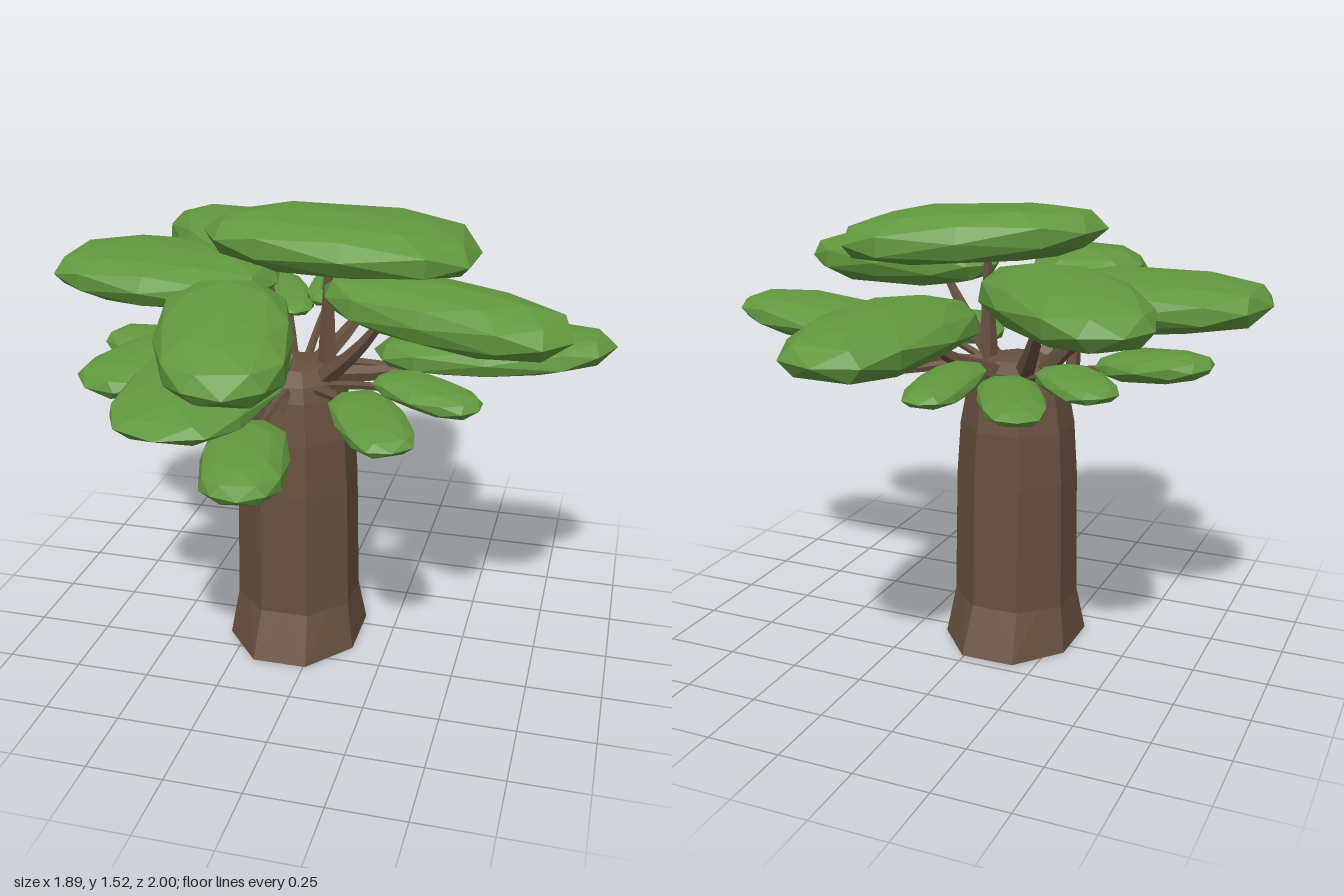
import * as THREE from 'three';

const bark = new THREE.MeshStandardMaterial({ color: 0x67503f, flatShading: true, side: THREE.DoubleSide });
const leaf = new THREE.MeshStandardMaterial({ color: 0x62983f, flatShading: true });
const V = (p) => new THREE.Vector3(...p);

// Repeatable noise in -1..1 from a position
function noise(v, seed) {
  const s = Math.sin(Math.round(v.x * 50) * 12.99 + Math.round(v.y * 50) * 78.23 + Math.round(v.z * 50) * 37.72 + seed * 9.17) * 4375.85;
  return (s - Math.floor(s)) * 2 - 1;
}

// Flattened, coarse leaf cushion from its inner tip to its outer tip; taper widens the outer end
function clump(inner, outer, halfWidth, halfThick, taper, seed) {
  const a = V(inner), b = V(outer);
  const x = b.clone().sub(a), half = x.length() / 2;
  x.normalize();
  const z = x.clone().cross(new THREE.Vector3(0, 1, 0)).normalize();
  const y = z.clone().cross(x);
  const geo = new THREE.IcosahedronGeometry(1, 1);
  const pos = geo.attributes.position, v = new THREE.Vector3();
  const blunt = (t, e) => Math.sign(t) * Math.pow(Math.abs(t), e);
  for (let i = 0; i < pos.count; i++) {
    v.fromBufferAttribute(pos, i);
    const k = 1 + 0.05 * noise(v, seed), u = blunt(v.x, 0.78);
    pos.setXYZ(i, u * half * (1 + (k - 1) * 0.3), blunt(v.y, 0.92) * halfThick * k, blunt(v.z, 0.8) * halfWidth * k * (1 + taper * u));
  }
  geo.applyMatrix4(new THREE.Matrix4().makeBasis(x, y, z).setPosition(a.add(b).multiplyScalar(0.5)));
  geo.computeVertexNormals();
  return new THREE.Mesh(geo, leaf);
}

// Tapered five-sided branch through a few points
function branch(points, r0, r1) {
  const curve = new THREE.CatmullRomCurve3(points.map(V));
  const steps = 5, sides = 5;
  const geo = new THREE.TubeGeometry(curve, steps, 1, sides);
  const pos = geo.attributes.position, v = new THREE.Vector3();
  for (let i = 0; i < pos.count; i++) {
    const t = Math.floor(i / (sides + 1)) / steps, c = curve.getPointAt(t);
    v.fromBufferAttribute(pos, i).sub(c).multiplyScalar(r0 + (r1 - r0) * t).add(c);
    pos.setXYZ(i, v.x, v.y, v.z);
  }
  return new THREE.Mesh(geo, bark);
}

// Eight-sided trunk lofted from rings, with a flared foot of triangular facets
function trunk() {
  const n = 8, pts = [], idx = [];
  const point = (step, y, rx, rz) => {
    const a = ((step + 0.5) / n) * Math.PI * 2;
    pts.push(-0.085 + Math.sin(a) * rx, y, 0.056 + Math.cos(a) * rz);
  };
  const rings = [[0.16, 0.214], [0.6, 0.206], [0.78, 0.194], [0.92, 0.168], [0.97, 0.148], [1.01, 0.1], [1.02, 0]];
  rings.forEach(([y, r], k) => {
    for (let i = 0; i < n; i++) {
      point(i, y, r, r);
      if (k === rings.length - 1) continue;
      const p = k * n + i, q = k * n + ((i + 1) % n);
      idx.push(p, q, p + n, q, q + n, p + n);
    }
  });
  // Foot: a flared corner below each edge, an apex in the middle of each face
  const foot = rings.length * n, centre = foot + 2 * n;
  for (let i = 0; i < n; i++) {
    point(i, 0, 0.24, 0.288);
    point(i + 0.5, 0.16, 0.198, 0.198);
    const corner = foot + 2 * i, apex = corner + 1, next = foot + ((2 * i + 2) % (2 * n)), j = (i + 1) % n;
    idx.push(corner, apex, i, apex, next, j, corner, next, apex, next, corner, centre);
  }
  point(0, 0, 0, 0);
  const geo = new THREE.BufferGeometry();
  geo.setAttribute('position', new THREE.Float32BufferAttribute(pts, 3));
  geo.setIndex(idx);
  const flat = geo.toNonIndexed();
  flat.computeVertexNormals();
  return new THREE.Mesh(flat, bark);
}

export function createModel() {
  const tree = new THREE.Group();
  tree.name = 'tree';
  const add = (mesh, name) => { mesh.name = name; tree.add(mesh); };
  add(trunk(), 'trunk');

  // Leaf cushions: name, inner tip, outer tip, half width, half thickness, taper
  const clumps = [
    ['crown', [-0.38, 1.45, 0.1], [0.5, 1.39, -0.06], 0.26, 0.095, 0.28],
    ['back', [0.1, 1.19, -0.1], [0.09, 1.2, -1.0], 0.22, 0.085, 0],
    ['left', [-0.17, 1.25, -0.03], [-0.95, 1.27, -0.04], 0.27, 0.085, 0],
    ['backSide', [-0.14, 1.31, -0.08], [-0.68, 1.28, -0.67], 0.215, 0.09, -0.08],
    ['frontSide', [0.03, 1.3, 0.13], [0.82, 1.26, 0.36], 0.18, 0.09, 0.1],
    ['front', [-0.28, 1.28, 0.15], [-0.07, 1.19, 0.87], 0.21, 0.095, -0.1],
    ['frontLower', [-0.2, 1.14, 0.2], [-0.22, 1.11, 1.0], 0.23, 0.053, 0],
    ['sideLower', [-0.25, 1.13, 0.16], [-0.59, 1.08, 0.61], 0.18, 0.053, 0],
    ['sideSmall', [-0.36, 1.0, 0.12], [-0.75, 1.04, 0.02], 0.13, 0.05, 0],
    ['frontSmall', [-0.11, 0.97, 0.5], [0.01, 0.96, 1.0], 0.13, 0.055, 0],
    ['cornerSmall', [0.15, 1.0, 0.26], [0.36, 0.99, 0.66], 0.115, 0.043, 0],
    ['cornerUpper', [0.22, 1.04, 0.2], [0.56, 1.02, 0.36], 0.1, 0.042, 0],
    ['right', [0.16, 1.05, -0.02], [0.94, 1.13, -0.01], 0.18, 0.07, 0],
    ['backSmall', [-0.1, 1.08, -0.36], [-0.14, 1.08, -0.82], 0.09, 0.035, 0],
    ['backSideSmall', [-0.2, 1.04, -0.34], [-0.42, 1.05, -0.78], 0.1, 0.037, 0],
    ['backCornerSmall', [-0.33, 1.07, -0.28], [-0.57, 1.06, -0.5], 0.1, 0.037, 0],
  ];
  clumps.forEach(([name, inner, outer, w, t, taper], k) => {
    add(clump(inner, outer, w, t, taper, k + 1), name + 'Foliage');
    // Branch from the trunk rim into the inner part of the cushion
    const small = t < 0.06;
    const end = V(inner).lerp(V(outer), name === 'crown' ? 0.45 : 0.28);
    const d = new THREE.Vector3(end.x + 0.085, 0, end.z - 0.056).normalize();
    const start = new THREE.Vector3(-0.085 + d.x * 0.1, small ? 0.95 : 0.97, 0.056 + d.z * 0.1);
    const mid = start.clone().lerp(end, 0.55);
    mid.y -= small ? 0 : 0.04;
    add(branch([start.toArray(), mid.toArray(), [end.x, end.y - t * 0.4, end.z]], small ? 0.016 : 0.036, 0.011), name + 'Branch');
  });

  // Bare lower branches
  add(branch([[-0.17, 0.83, 0.19], [-0.2, 0.88, 0.26], [-0.21, 1.0, 0.27], [-0.25, 1.1, 0.36]], 0.035, 0.016), 'lowBranch');
  add(branch([[-0.1, 0.93, 0.16], [-0.06, 0.95, 0.34], [-0.03, 0.89, 0.58], [-0.03, 0.95, 0.64]], 0.022, 0.01), 'frontTwig');
  add(branch([[0.02, 1.0, 0.0], [0.15, 0.98, -0.06], [0.28, 0.96, -0.1], [0.43, 0.96, -0.14]], 0.022, 0.008), 'sideTwig');
  return tree;
}
